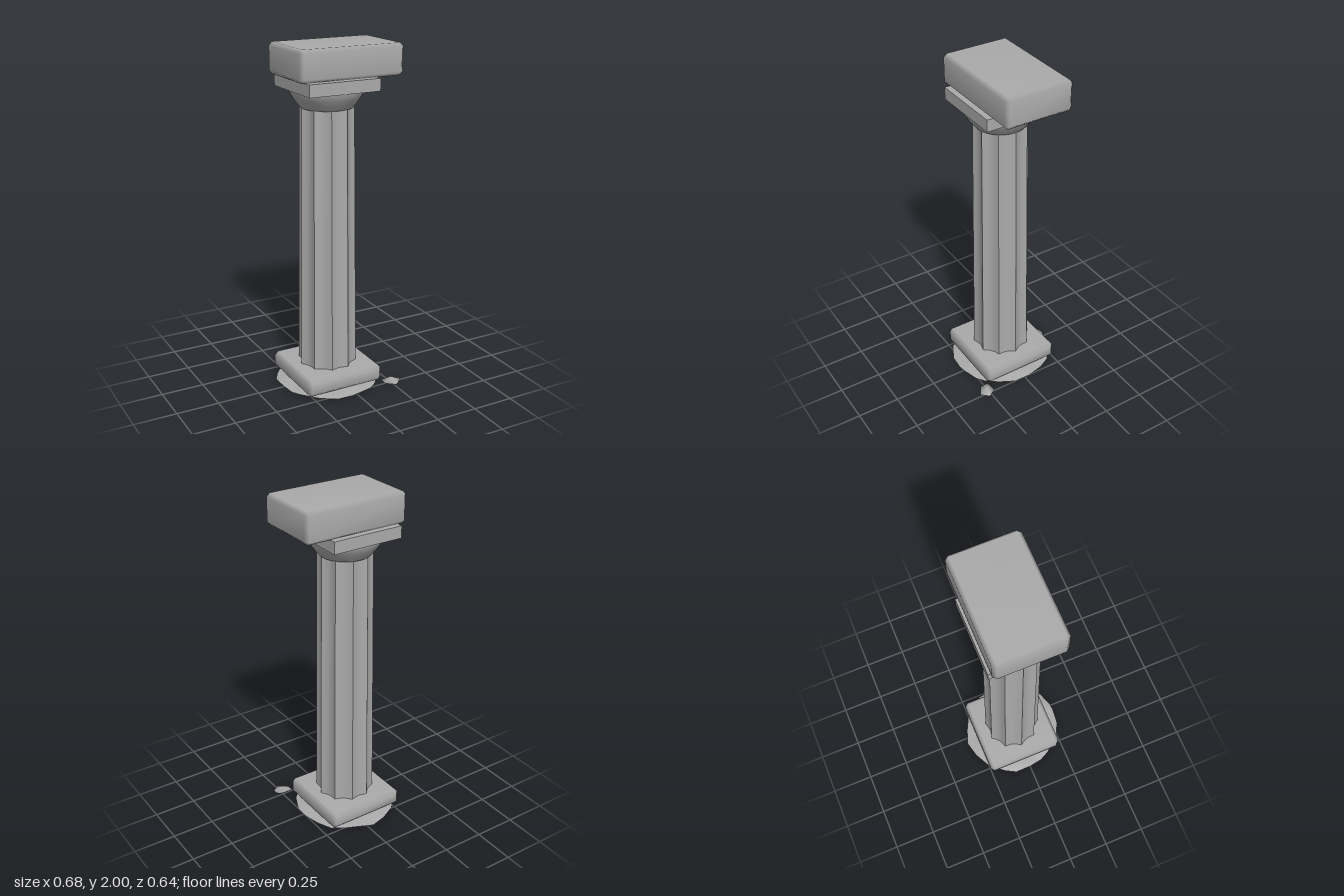
import * as THREE from 'three';
import { mergeVertices, toCreasedNormals } from 'three/addons/utils/BufferGeometryUtils.js';
import { ConvexGeometry } from 'three/addons/geometries/ConvexGeometry.js';

const CX = -0.04, CZ = -0.01; // column axis

// Share vertices so that a faceted hull is shaded smoothly
function soften(geometry) {
  geometry.deleteAttribute('normal');
  const merged = mergeVertices(geometry, 1e-4);
  merged.computeVertexNormals();
  return merged;
}

// Block with bevelled edges and worn, smooth shading
function bevelledBlock(w, h, d, bevel) {
  const points = [];
  for (const sx of [-1, 1]) for (const sy of [-1, 1]) for (const sz of [-1, 1]) {
    for (let axis = 0; axis < 3; axis++) {
      const inset = [bevel, bevel, bevel];
      inset[axis] = 0;
      points.push(new THREE.Vector3(
        sx * (w / 2 - inset[0]), sy * (h / 2 - inset[1]), sz * (d / 2 - inset[2])));
    }
  }
  return soften(new ConvexGeometry(points));
}

// Tapered shaft with ten concave flutes meeting at sharp ridges
function flutedShaft(topR, bottomR, height) {
  const flutes = 10, steps = 8;
  const g = new THREE.CylinderGeometry(topR, bottomR, height, flutes * steps, 1);
  const p = g.attributes.position;
  for (let i = 0; i < p.count; i++) {
    const turn = Math.atan2(p.getX(i), p.getZ(i)) / (Math.PI * 2) * flutes + 0.5 + flutes;
    const t = turn - Math.floor(turn);
    const f = 1 - 0.12 * 4 * t * (1 - t);
    p.setX(i, p.getX(i) * f);
    p.setZ(i, p.getZ(i) * f);
  }
  return toCreasedNormals(g, 0.5);
}

// Low irregular mound: rings of the outline, rising to the middle
function moundGeometry() {
  const rim = [
    [-0.34, -0.1], [-0.34, 0], [-0.325, 0.085], [-0.295, 0.145], [-0.22, 0.24],
    [-0.13, 0.285], [-0.035, 0.295], [0.01, 0.29], [0.1, 0.26], [0.15, 0.23],
    [0.21, 0.16], [0.25, 0.07], [0.255, -0.03], [0.235, -0.13], [0.19, -0.21],
    [0.13, -0.255], [0.05, -0.295], [-0.035, -0.325], [-0.13, -0.303],
    [-0.225, -0.255], [-0.3, -0.17]];
  const rings = [[1, 0.004], [0.8, 0.016], [0.45, 0.02]];
  const n = rim.length, pos = [], index = [];
  rings.forEach(([s, y], r) => rim.forEach(([x, z], i) => {
    const wave = r ? 0.006 * Math.sin(i * 1.7 + r * 2) : 0.004 * Math.sin(i * 2.1);
    pos.push(CX + (x - CX) * s, Math.max(0, y + wave), CZ + (z - CZ) * s);
  }));
  pos.push(CX, 0.022, CZ);
  for (let i = 0; i < n; i++) {
    const j = (i + 1) % n;
    for (let r = 0; r < rings.length - 1; r++) {
      const a = r * n + i, b = r * n + j;
      index.push(a, b, a + n, b, b + n, a + n);
    }
    const last = (rings.length - 1) * n;
    index.push(last + i, last + j, rings.length * n);
  }
  const g = new THREE.BufferGeometry();
  g.setAttribute('position', new THREE.Float32BufferAttribute(pos, 3));
  g.setIndex(index);
  g.computeVertexNormals();
  return g;
}

// Five-sided loose chip of stone
function chipGeometry() {
  const points = [
    [0.193, 0.022, 0.233], [0.265, 0.025, 0.229], [0.297, 0.025, 0.28],
    [0.253, 0.02, 0.32], [0.193, 0.02, 0.283], [0.24, 0.047, 0.265],
    [0.215, 0.005, 0.25], [0.28, 0.004, 0.268], [0.25, 0.006, 0.3]];
  return soften(new ConvexGeometry(points.map((q) => new THREE.Vector3(...q))));
}

export function createModel() {
  const group = new THREE.Group();
  const stone = new THREE.MeshStandardMaterial({ color: 0xaaaaaa });
  stone.name = 'greyStone';
  const ground = new THREE.MeshStandardMaterial({ color: 0xaaaaaa, side: THREE.DoubleSide });
  ground.name = 'greyGround';

  const add = (name, geometry, x = 0, y = 0, z = 0, material = stone) => {
    const mesh = new THREE.Mesh(geometry, material);
    mesh.name = name;
    mesh.position.set(x, y, z);
    group.add(mesh);
  };

  // Ground and rubble
  add('groundMound', moundGeometry(), 0, 0, 0, ground);
  add('looseChip', chipGeometry());

  // Base and shaft
  add('plinth', bevelledBlock(0.484, 0.102, 0.482, 0.021), CX - 0.002, 0.066, CZ);
  add('flutedShaft', flutedShaft(0.155, 0.172, 1.54), CX, 0.882, CZ);

  // Capital: flaring cushion under a square slab
  const flare = [[0, 1.65], [0.148, 1.65], [0.172, 1.68], [0.193, 1.71], [0.207, 1.735], [0.211, 1.752]];
  const cushion = new THREE.LatheGeometry(flare.map(([r, y]) => new THREE.Vector2(r, y)), 32);
  add('capitalCushion', toCreasedNormals(cushion, 0.6), CX, 0, CZ);
  add('capitalSlab', new THREE.BoxGeometry(0.432, 0.07, 0.432), CX, 1.786, CZ);

  // Broken beam, overhanging to one side
  add('beam', bevelledBlock(0.636, 0.178, 0.406, 0.02), 0.018, 1.911, -0.011);
  return group;
}
